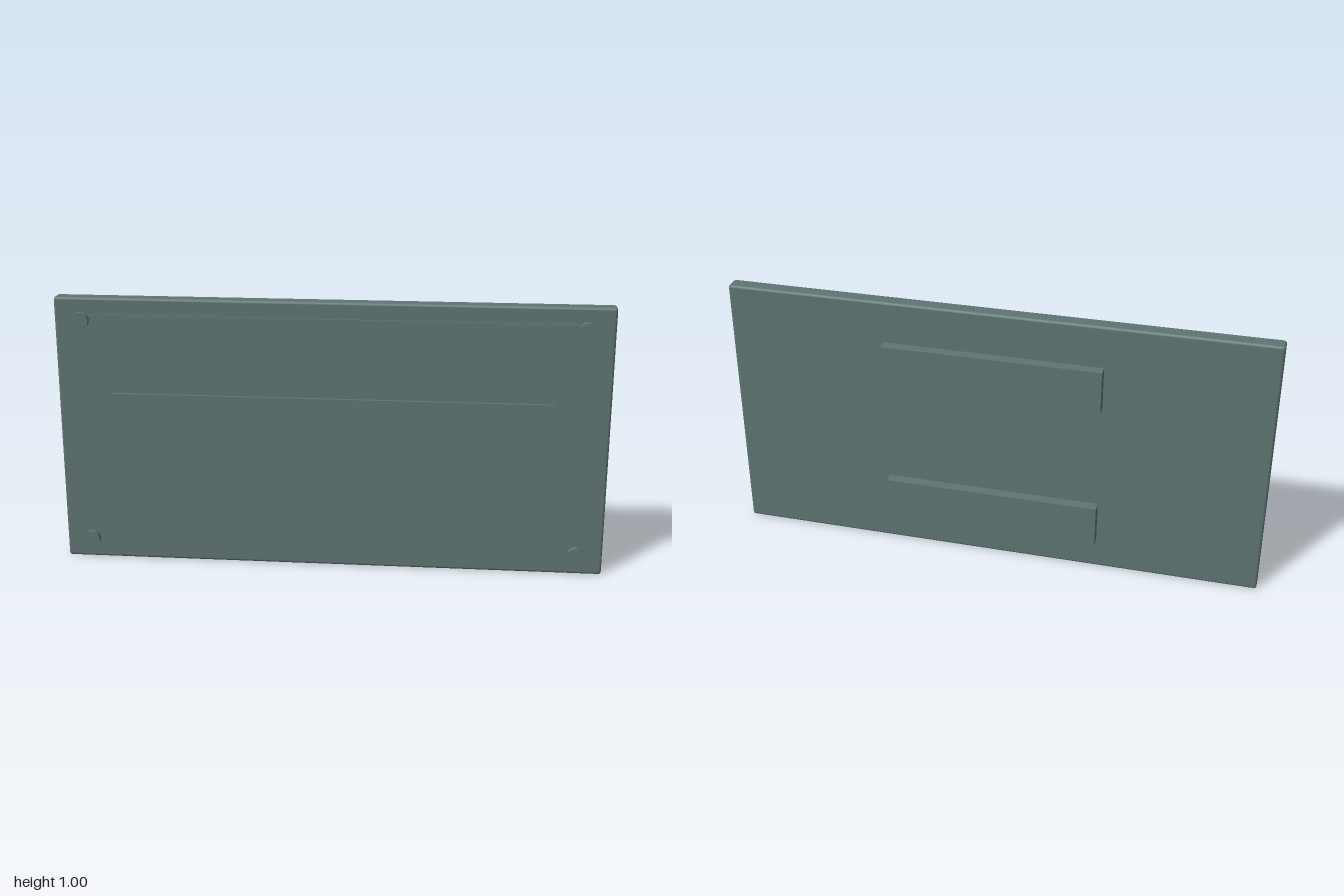
import * as THREE from 'three';
import { RoundedBoxGeometry } from 'three/addons/geometries/RoundedBoxGeometry.js';

export function createModel() {
  const group = new THREE.Group();
  const paint = new THREE.MeshStandardMaterial({ color: 0x5f7573 });

  const add = (name, geometry, x, y, z) => {
    const mesh = new THREE.Mesh(geometry, paint);
    mesh.name = name;
    mesh.position.set(x, y, z);
    group.add(mesh);
  };
  // Box and z-aligned cylinder spanning z0 to z1
  const slab = (name, w, h, y, z0, z1) =>
    add(name, new THREE.BoxGeometry(w, h, z1 - z0), 0, y, (z0 + z1) / 2);
  const pin = (name, r, x, y, z0, z1) =>
    add(name, new THREE.CylinderGeometry(r, r, z1 - z0, 12).rotateX(Math.PI / 2), x, y, (z0 + z1) / 2);

  // Board with softened edges
  add('panel', new RoundedBoxGeometry(2, 1, 0.06, 2, 0.01), 0, 0.5, 0.023);

  // Raised front face and name plate
  slab('facePlate', 1.88, 0.88, 0.5, 0.04, 0.06);
  slab('namePlate', 1.6, 0.3, 0.5, 0.058, 0.073);

  for (const sx of [-1, 1]) {
    for (const sy of [-1, 1]) {
      // Corner bolts on the front, stand-off posts on the back
      pin('cornerBolt', 0.03, sx * 0.9, 0.5 + sy * 0.42, 0.05, 0.08);
      pin('standOffPost', 0.03, sx * 0.28, 0.5 + sy * 0.28, -0.045, 0);
    }
  }

  // Mounting rails behind the panel
  for (const sy of [-1, 1]) slab('mountingRail', 0.8, 0.16, 0.5 + sy * 0.28, -0.078, -0.038);

  return group;
}
